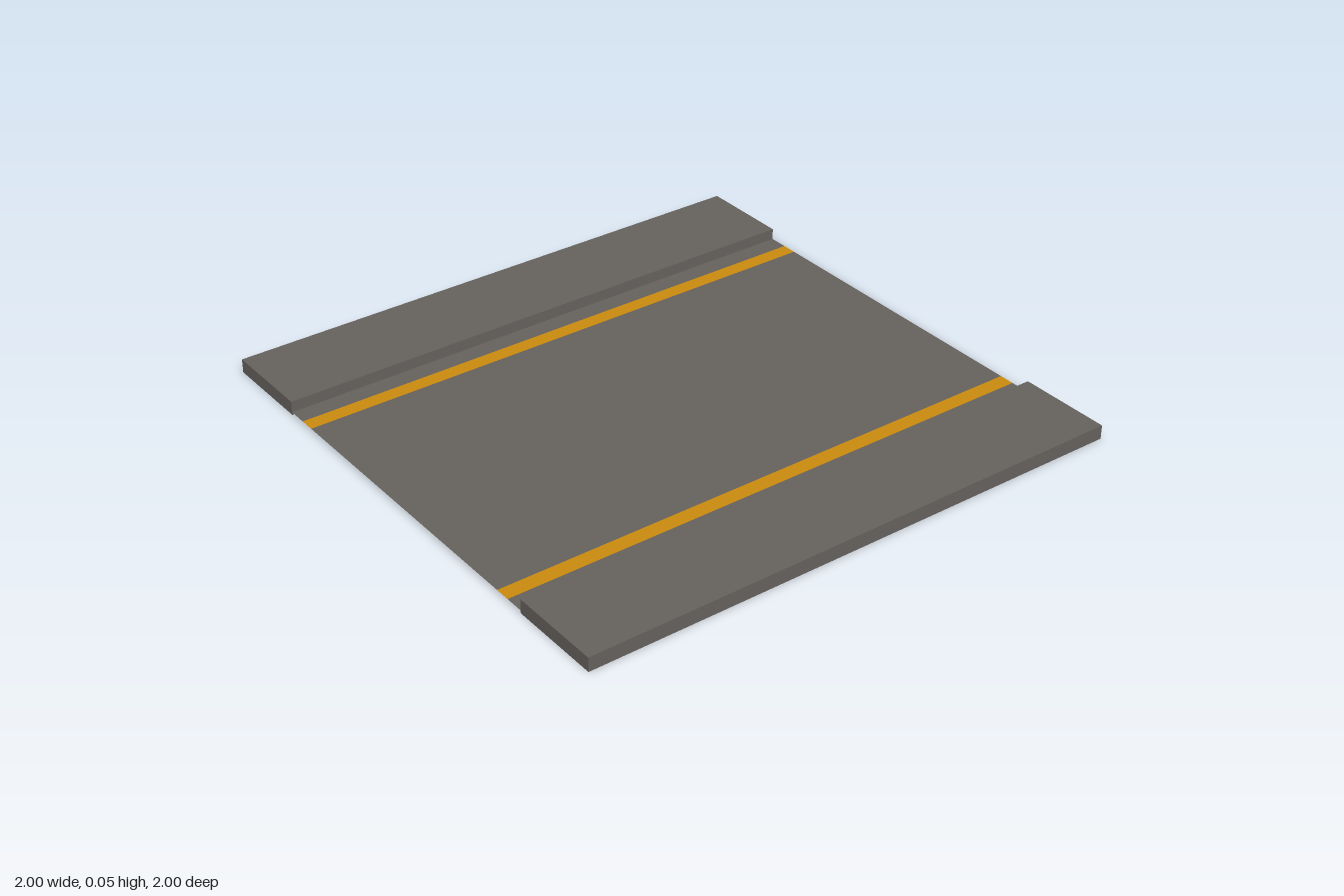
import * as THREE from 'three';

export function createModel() {
  const group = new THREE.Group();
  const asphalt = new THREE.MeshStandardMaterial({ color: 0x65605c, side: THREE.DoubleSide });
  asphalt.name = 'asphalt grey';
  const paint = new THREE.MeshStandardMaterial({ color: 0xc9890f, side: THREE.DoubleSide });
  paint.name = 'line yellow';

  const length = 2, roadY = 0.01, curbHeight = 0.05;

  // Flat lengthwise strip of the road surface
  function strip(name, x0, x1, material) {
    const geometry = new THREE.PlaneGeometry(x1 - x0, length).rotateX(-Math.PI / 2);
    const mesh = new THREE.Mesh(geometry, material);
    mesh.position.set((x0 + x1) / 2, roadY, 0);
    mesh.name = name;
    group.add(mesh);
  }

  // Raised sidewalk: a hollow shell, open underneath
  function sidewalk(name, x0, x1) {
    const geometry = new THREE.BoxGeometry(x1 - x0, curbHeight, length);
    const index = Array.from(geometry.index.array);
    index.splice(18, 6); // drop the bottom face
    geometry.setIndex(index);
    geometry.clearGroups();
    const mesh = new THREE.Mesh(geometry, asphalt);
    mesh.position.set((x0 + x1) / 2, curbHeight / 2, 0);
    mesh.name = name;
    group.add(mesh);
  }

  sidewalk('rightSidewalk', -1, -0.667);
  strip('rightGutter', -0.667, -0.598, asphalt);
  strip('rightLine', -0.598, -0.543, paint);
  strip('roadway', -0.543, 0.54, asphalt);
  strip('leftLine', 0.54, 0.595, paint);
  strip('leftGutter', 0.595, 0.663, asphalt);
  sidewalk('leftSidewalk', 0.663, 1);

  return group;
}
